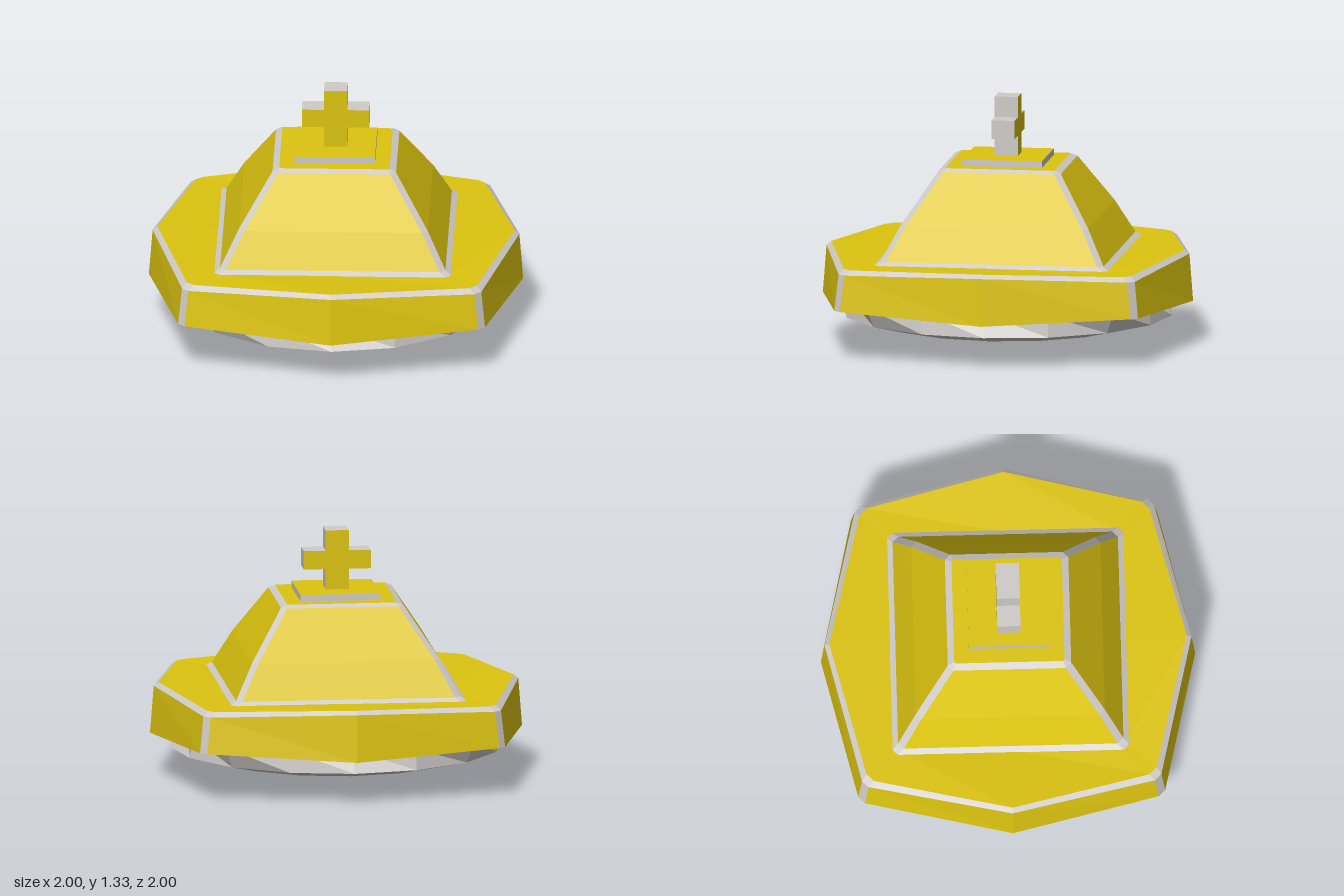
import * as THREE from 'three';

const yellow = new THREE.MeshStandardMaterial({ color: 0xdcc40f });
yellow.name = 'yellow';
const grey = new THREE.MeshStandardMaterial({ color: 0xcfcbc9 });
grey.name = 'grey';
const YELLOW = 0, GREY = 1;

// Four-sided loop with side midpoints (m, my) and chamfered corners (a, c, cy): 12 points
function squareLoop(m, my, a, cy = my, c = 0.03) {
  const pts = [];
  for (let k = 0; k < 4; k++) {
    for (const [x, y, z] of [[m, my, 0], [a, cy, a - c], [a - c, cy, a]]) {
      let p = [x, z];
      for (let r = 0; r < k; r++) p = [-p[1], p[0]];
      pts.push(new THREE.Vector3(p[0], y, p[1]));
    }
  }
  return pts;
}

// Round loop; swell pushes the diagonals outward
function roundLoop(r, y, n = 16, swell = 0) {
  return Array.from({ length: n }, (_, i) => {
    const t = (i / n) * Math.PI * 2;
    const q = r * (1 + swell * Math.sin(2 * t) ** 2);
    return new THREE.Vector3(q * Math.cos(t), y, q * Math.sin(t));
  });
}

// Flat-shaded skin over successive loops; paint(band, index) picks the colour
function loft(name, loops, paint) {
  const faces = [[], []];
  for (let b = 0; b < loops.length - 1; b++) {
    const A = loops[b], B = loops[b + 1];
    A.forEach((p, i) => {
      const j = (i + 1) % A.length;
      faces[paint(b, i)].push(p, B[i], B[j], p, B[j], A[j]);
    });
  }
  const geo = new THREE.BufferGeometry().setFromPoints([...faces[0], ...faces[1]]);
  geo.addGroup(0, faces[0].length, YELLOW);
  geo.addGroup(faces[0].length, faces[1].length, GREY);
  geo.computeVertexNormals();
  const mesh = new THREE.Mesh(geo, [yellow, grey]);
  mesh.name = name;
  return mesh;
}

export function createModel() {
  const model = new THREE.Group();
  model.name = 'domedPlatform';

  // Lower dome bulging from the underside
  model.add(loft('lowerDome', [
    roundLoop(0, 0, 12), roundLoop(0.05, 0, 12), roundLoop(0.3, 0.06, 12),
    roundLoop(0.48, 0.105, 12), roundLoop(0.62, 0.2, 12),
  ], () => YELLOW));

  // Flared collar around the dome
  model.add(loft('collar', [
    roundLoop(0.58, 0.19), roundLoop(0.69, 0.105), roundLoop(0.89, 0.155),
    roundLoop(0.81, 0.27, 16, 0.17),
  ], () => GREY));

  // Eight-sided slab: underside, wall, bevelled rim, top
  model.add(loft('slab', [
    squareLoop(0, 0.26, 0, 0.26, 0),
    squareLoop(1, 0.235, 0.82, 0.265, 0.035),
    squareLoop(0.98, 0.49, 0.8, 0.46, 0.035),
    squareLoop(0.955, 0.51, 0.775, 0.485, 0.04),
    squareLoop(0.62, 0.487, 0.62, 0.487),
  ], (b, i) => (b === 3 || (b === 1 && i % 3 !== 1) ? YELLOW : GREY)));

  // Tapering tower with grey edge trim
  model.add(loft('tower', [
    squareLoop(0.635, 0.485, 0.635), squareLoop(0.602, 0.505, 0.602),
    squareLoop(0.505, 0.69, 0.505), squareLoop(0.33, 0.955, 0.33),
    squareLoop(0.295, 0.97, 0.295, 0.97, 0.01), squareLoop(0, 0.97, 0, 0.97, 0),
  ], (b, i) => (b === 4 || ((b === 1 || b === 2) && i % 3 !== 1) ? YELLOW : GREY)));

  // Square plate under the cross
  const plate = new THREE.Mesh(new THREE.BoxGeometry(0.43, 0.04, 0.43),
    [grey, grey, yellow, grey, grey, grey]);
  plate.name = 'topPlate';
  plate.position.y = 0.985;
  model.add(plate);

  // Cross: yellow front and back, grey edges
  const w = 0.0625, arm = 0.18, lo = 1.115, hi = 1.215;
  const right = [[w, 1.0], [w, lo], [arm, lo], [arm, hi], [w, hi], [w, 1.325]];
  const left = right.map(([x, y]) => [-x, y]).reverse();
  const outline = new THREE.Shape([...right, ...left].map(([x, y]) => new THREE.Vector2(x, y)));
  const cross = new THREE.Mesh(
    new THREE.ExtrudeGeometry(outline, { depth: 2 * w, bevelEnabled: false }), [yellow, grey]);
  cross.name = 'cross';
  cross.position.z = -w;
  model.add(cross);

  return model;
}
